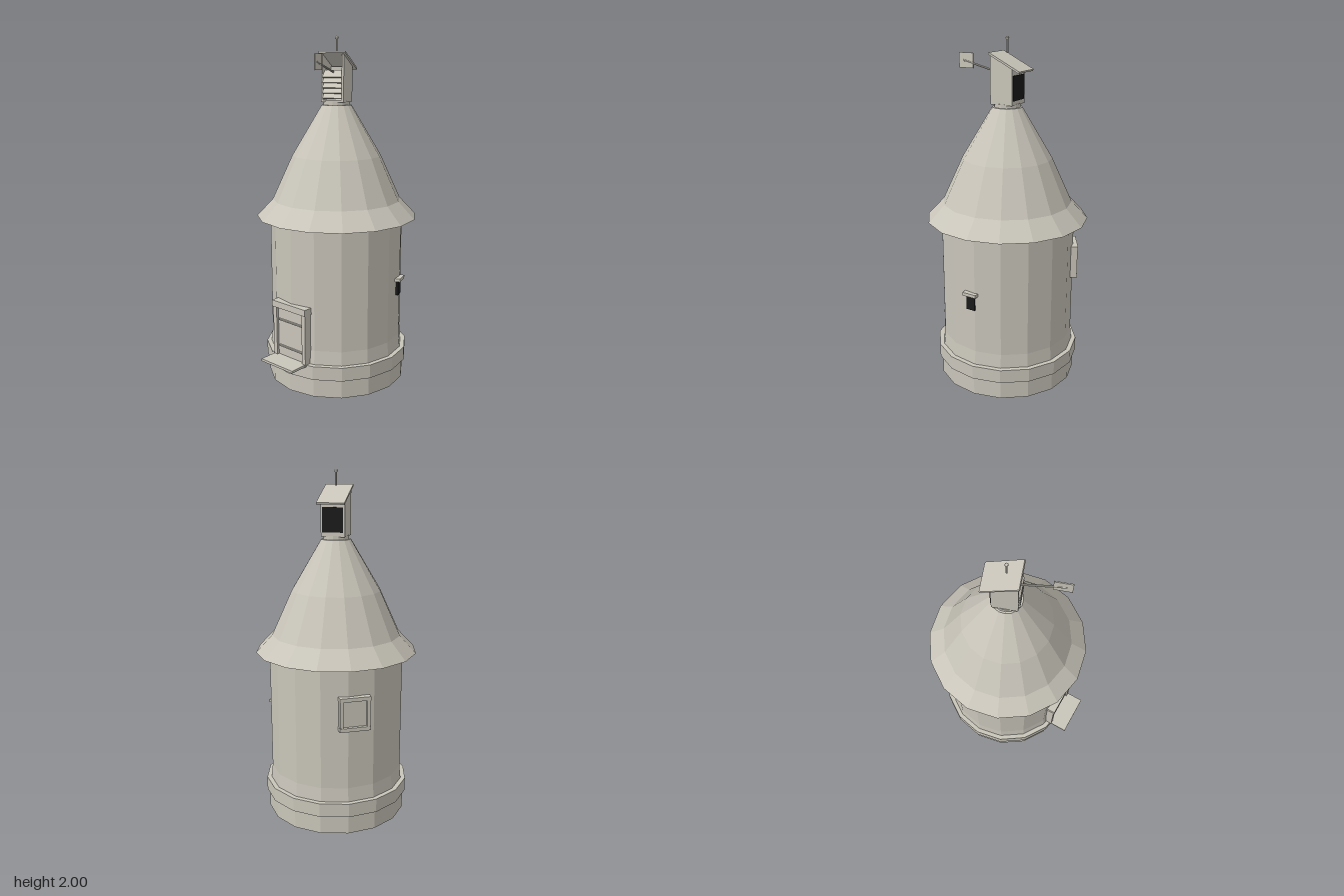
import * as THREE from 'three';

const plaster = new THREE.MeshStandardMaterial({ color: 0xc9c5ba, flatShading: true, side: THREE.DoubleSide });
plaster.name = 'pale grey';
const dark = new THREE.MeshStandardMaterial({ color: 0x1a1a1a });
dark.name = 'near black';

const CZ = -0.025; // tower axis
const R = 0.39; // wall radius

function add(parent, name, geometry, material = plaster, x = 0, y = 0, z = 0) {
  const m = new THREE.Mesh(geometry, material);
  m.name = name;
  m.position.set(x, y, z);
  parent.add(m);
  return m;
}

// box given by its lower and upper corner
function block(parent, name, a, b, material = plaster) {
  return add(parent, name, new THREE.BoxGeometry(b[0] - a[0], b[1] - a[1], b[2] - a[2]), material,
    (a[0] + b[0]) / 2, (a[1] + b[1]) / 2, (a[2] + b[2]) / 2);
}

function lathe(parent, name, points) {
  return add(parent, name, new THREE.LatheGeometry(points.map(p => new THREE.Vector2(...p)), 16));
}

// group turned about the tower axis; local +z points outwards
function turned(parent, name, degrees) {
  const g = new THREE.Group();
  g.name = name;
  g.rotation.y = THREE.MathUtils.degToRad(degrees);
  parent.add(g);
  return g;
}

function rod(parent, name, from, to, radius) {
  const a = new THREE.Vector3(...from), b = new THREE.Vector3(...to);
  const m = add(parent, name, new THREE.CylinderGeometry(radius, radius, a.distanceTo(b), 8));
  m.position.copy(a).lerp(b, 0.5);
  m.quaternion.setFromUnitVectors(new THREE.Vector3(0, 1, 0), b.sub(a).normalize());
  return m;
}

function buildDoor(tower) {
  const door = turned(tower, 'door', 0);
  block(door, 'doorPanel', [-0.105, 0.19, 0.34], [0.105, 0.49, 0.396]);
  for (const s of [-1, 1]) {
    const x = s * 0.112;
    block(door, 'doorJamb', [x - 0.013, 0.18, 0.36], [x + 0.013, 0.49, 0.411]);
  }
  block(door, 'doorLintel', [-0.13, 0.485, 0.36], [0.13, 0.522, 0.417]);
  block(door, 'doorStep', [-0.123, 0.18, 0.36], [0.123, 0.194, 0.515]);
  for (const y of [0.25, 0.41]) rod(door, 'doorBatten', [-0.09, y, 0.397], [0.09, y, 0.397], 0.007);
}

function buildHatch(tower) {
  const hatch = turned(tower, 'wallHatch', 230);
  block(hatch, 'hatchPanel', [-0.075, 0.63, 0.36], [0.075, 0.8, 0.396]);
  for (const s of [-1, 1]) {
    const x = s * 0.077, y = 0.715 + s * 0.086;
    block(hatch, 'hatchSide', [x - 0.01, 0.62, 0.36], [x + 0.01, 0.81, 0.412]);
    block(hatch, 'hatchRail', [-0.088, y - 0.011, 0.36], [0.088, y + 0.011, 0.414]);
  }
}

function buildVent(tower) {
  const vent = turned(tower, 'wallVent', 109);
  block(vent, 'ventOpening', [-0.027, 0.53, 0.36], [0.027, 0.616, 0.396], dark);
  block(vent, 'ventHood', [-0.043, 0.616, 0.36], [0.043, 0.635, 0.412]);
}

function buildCowl(tower) {
  const cowl = turned(tower, 'cowl', 19.5);
  const h = 0.069, t = 0.012;
  block(cowl, 'cowlFloor', [-h, 1.635, -h], [h, 1.648, h]);

  // side walls rise to the sloping roof
  const side = new THREE.Shape();
  side.moveTo(-h, 1.64);
  side.lineTo(h, 1.64);
  side.lineTo(h, 1.9);
  side.lineTo(-h, 1.833);
  const sideGeometry = new THREE.ExtrudeGeometry(side, { depth: t, bevelEnabled: false });
  sideGeometry.rotateY(-Math.PI / 2); // profile x runs along z
  add(cowl, 'cowlSide', sideGeometry, plaster, h);
  add(cowl, 'cowlSide', sideGeometry, plaster, -h + t);

  // back wall with dark opening
  block(cowl, 'cowlBack', [-h, 1.64, -h], [h, 1.83, -h + t]);
  block(cowl, 'cowlOpening', [-0.059, 1.66, -h - 0.005], [0.059, 1.797, -h], dark);

  // louvre slats in the front
  for (let i = 0; i < 5; i++) {
    const slat = add(cowl, 'louvreSlat', new THREE.BoxGeometry(2 * h - 2 * t, 0.006, 0.055), plaster,
      0, 1.675 + i * 0.029, h - 0.014);
    slat.rotation.x = 0.75;
  }
  block(cowl, 'cowlInnerTop', [-h + t, 1.8, -h + t], [h - t, 1.808, 0.04]);

  // sloping roof plate, high at the front
  const lid = add(cowl, 'cowlRoof', new THREE.BoxGeometry(0.16, 0.011, 0.214), plaster, 0, 1.865, -0.022);
  lid.rotation.x = -0.45;

  // wind vane
  rod(cowl, 'vaneArm', [0, 1.803, 0.055], [0, 1.858, 0.29], 0.006);
  block(cowl, 'vaneBlade', [-0.003, 1.815, 0.223], [0.003, 1.9, 0.318]);
}

export function createModel() {
  const model = new THREE.Group();
  model.name = 'roundTower';
  const tower = new THREE.Group();
  tower.name = 'tower';
  tower.position.z = CZ;
  model.add(tower);

  // open shell: footing, ring and wall
  lathe(tower, 'footing', [[0.41, 0], [0.41, 0.11]]);
  lathe(tower, 'baseRing', [[0.41, 0.11], [0.425, 0.11], [0.425, 0.19], [0.398, 0.19]]);
  lathe(tower, 'wall', [[0.398, 0.19], [R, 0.27], [R, 1.04]]);

  // flared roof and neck
  lathe(tower, 'roof', [[0.468, 0.976], [0.374, 1.075], [0.257, 1.33], [0.085, 1.618], [0, 1.622]]);
  lathe(tower, 'neck', [[0.075, 1.61], [0.075, 1.64], [0, 1.64]]);

  buildDoor(tower);
  buildHatch(tower);
  buildVent(tower);
  buildCowl(tower);

  // finial
  rod(tower, 'finialRod', [0, 1.91, 0], [0, 1.99, 0], 0.005);
  add(tower, 'finialBall', new THREE.SphereGeometry(0.01, 10, 8), plaster, 0, 1.99, 0);
  return model;
}
